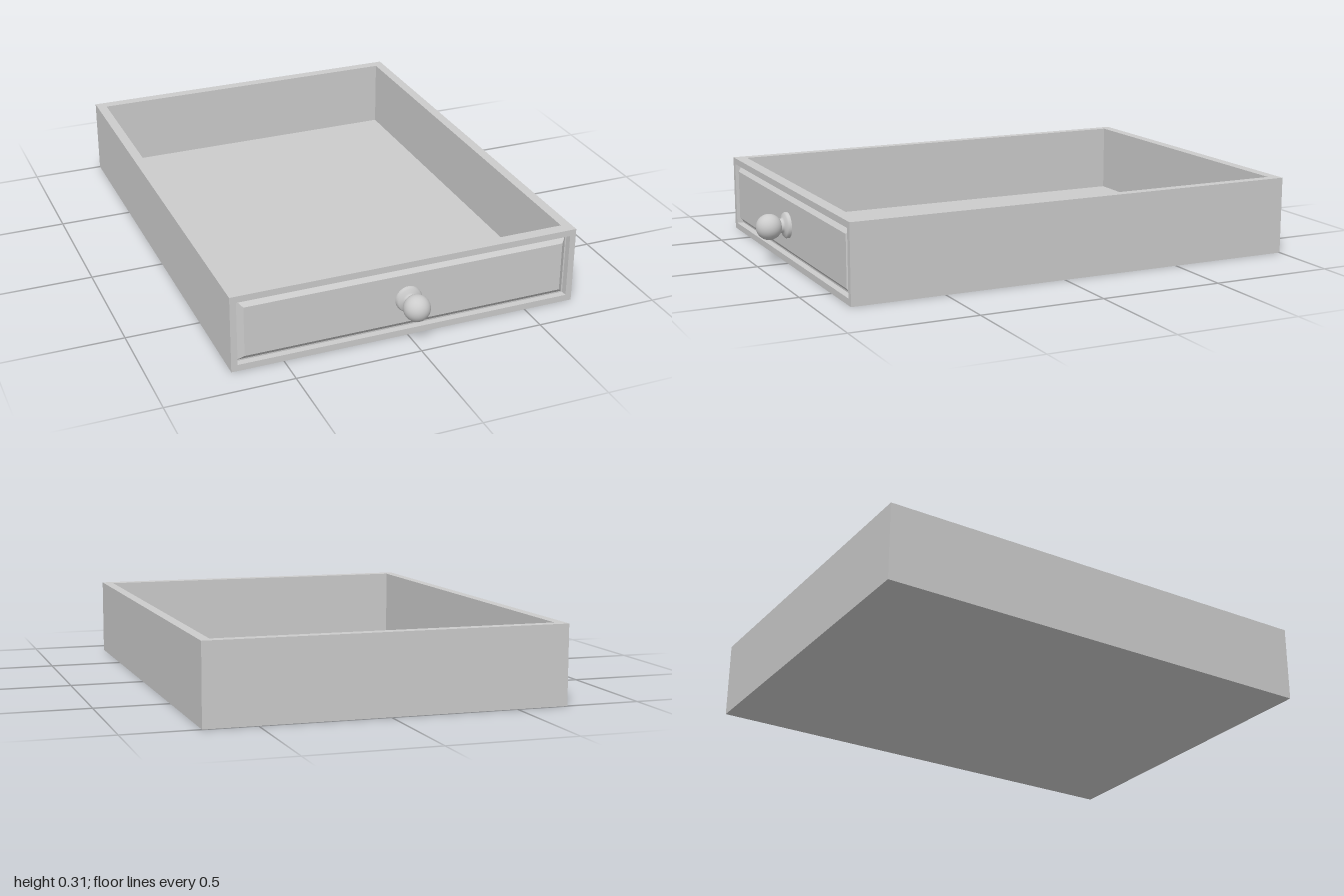
import * as THREE from 'three';

const material = new THREE.MeshStandardMaterial({ color: 0xcccccc, side: THREE.DoubleSide });

const W = 1.41, H = 0.313, BACK = -1, FRONT = 0.875;
const GROOVE = 0.848; // z of the recessed field behind the front frame
const MID = H / 2;

function addMesh(group, name, geometry) {
  const mesh = new THREE.Mesh(geometry, material);
  mesh.name = name;
  group.add(mesh);
  return mesh;
}

function rectangle(Type, x0, y0, x1, y1) {
  return new Type([[x0, y0], [x1, y0], [x1, y1], [x0, y1]].map(([x, y]) => new THREE.Vector2(x, y)));
}

// Rectangular ring extruded along z
function ring(outer, inner, depth) {
  const shape = rectangle(THREE.Shape, ...outer);
  shape.holes.push(rectangle(THREE.Path, ...inner));
  return new THREE.ExtrudeGeometry(shape, { depth, bevelEnabled: false });
}

// Slab whose front face is inset to give sloping borders
function raisedPanel(w, h, depth, inset) {
  const geometry = new THREE.BoxGeometry(w, h, depth);
  const p = geometry.attributes.position;
  for (let i = 0; i < p.count; i++) {
    if (p.getZ(i) < 0) continue;
    p.setX(i, p.getX(i) - Math.sign(p.getX(i)) * inset);
    p.setY(i, p.getY(i) - Math.sign(p.getY(i)) * inset);
  }
  geometry.computeVertexNormals();
  return geometry;
}

export function createModel() {
  const drawer = new THREE.Group();
  drawer.name = 'drawer';

  // Four walls, extruded upwards (shape y becomes -z)
  const walls = ring([-W / 2, -GROOVE, W / 2, -BACK], [-0.665, -0.826, 0.665, 0.956], H);
  walls.rotateX(-Math.PI / 2);
  addMesh(drawer, 'walls', walls);

  // Floor fills the inside of the walls
  const floor = addMesh(drawer, 'floor', new THREE.BoxGeometry(1.33, 0.03, 1.782));
  floor.position.set(0, 0.015, -0.065);

  // Frame around the front, standing proud of the groove
  const frame = ring([-W / 2, 0, W / 2, H], [-0.68, 0.026, 0.68, H - 0.026], FRONT - GROOVE);
  addMesh(drawer, 'frontFrame', frame).position.z = GROOVE;

  // Raised panel with sloping borders
  const panel = addMesh(drawer, 'frontPanel', raisedPanel(1.348, 0.25, 0.022, 0.023));
  panel.position.set(0, MID, GROOVE + 0.011);

  // Knob: flared base, narrow neck and ball
  const knob = new THREE.Group();
  knob.name = 'knob';
  knob.position.set(0, MID, 0);
  const profile = [[0.052, 0.865], [0.052, 0.881], [0.047, 0.887], [0.034, 0.891], [0.028, 0.896], [0.028, 0.912]];
  const base = new THREE.LatheGeometry(profile.map(([r, z]) => new THREE.Vector2(r, z)), 32);
  base.rotateX(Math.PI / 2);
  addMesh(knob, 'knobBase', base);
  const ball = new THREE.SphereGeometry(0.052, 32, 24);
  ball.rotateX(Math.PI / 2);
  addMesh(knob, 'knobBall', ball).position.z = 0.948;
  drawer.add(knob);

  return drawer;
}
